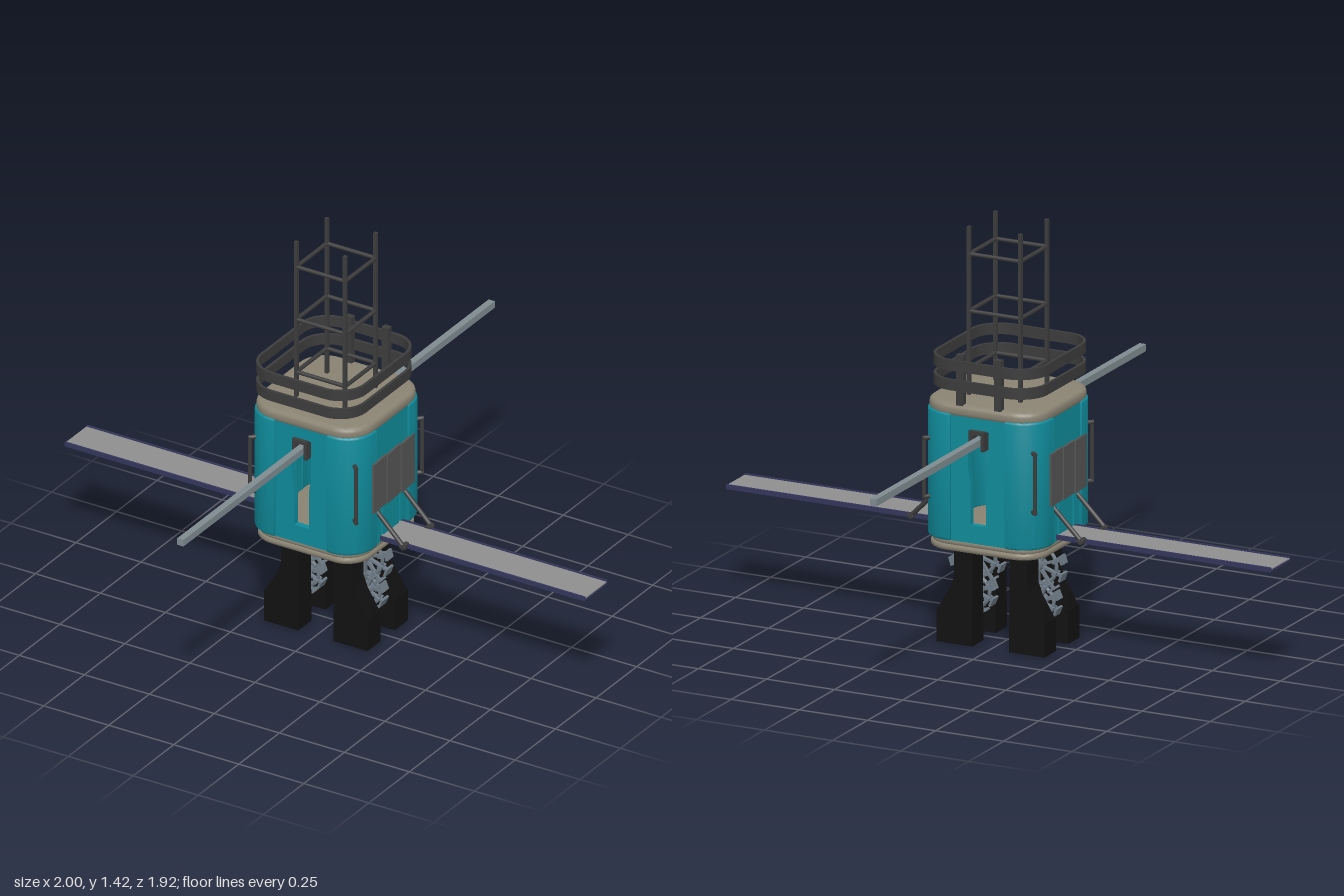
import * as THREE from 'three';
import { toCreasedNormals } from 'three/addons/utils/BufferGeometryUtils.js';

const paint = (color) => new THREE.MeshStandardMaterial({ color });
const TEAL = paint(0x0f8a99), BEIGE = paint(0x8a8373), DARK = paint(0x3c3c3c), BLACK = paint(0x111111);
const STEEL = paint(0x7f8b90), WHEEL = paint(0x6c7984), NAVY = paint(0x34365c), TREAD = paint(0x8e8e8e);
const PANEL = paint(0x555555);

export function createModel() {
  const model = new THREE.Group();

  const add = (name, geometry, material, parent = model) => {
    const mesh = new THREE.Mesh(geometry, material);
    mesh.name = name;
    parent.add(mesh);
    return mesh;
  };
  const box = (name, w, h, d, x, y, z, material, parent) => {
    const mesh = add(name, new THREE.BoxGeometry(w, h, d), material, parent);
    mesh.position.set(x, y, z);
    return mesh;
  };
  const rod = (name, a, b, radius, material, parent, sides = 8) => {
    const from = new THREE.Vector3(...a), dir = new THREE.Vector3(...b).sub(from);
    const mesh = add(name, new THREE.CylinderGeometry(radius, radius, dir.length(), sides), material, parent);
    mesh.position.copy(from).addScaledVector(dir, 0.5);
    mesh.quaternion.setFromUnitVectors(new THREE.Vector3(0, 1, 0), dir.normalize());
    return mesh;
  };
  const group = (name) => {
    const g = new THREE.Group();
    g.name = name;
    model.add(g);
    return g;
  };
  const extrude = (shape, depth, bevel = 0, curveSegments = 8) => toCreasedNormals(
    new THREE.ExtrudeGeometry(shape, {
      depth: depth - 2 * bevel, curveSegments, bevelEnabled: bevel > 0,
      bevelThickness: bevel, bevelSize: bevel, bevelOffset: -bevel, bevelSegments: 3,
    }).translate(0, 0, bevel), 0.6);
  const outline = (hx, hz, r, Type = THREE.Shape) => {
    const s = new Type();
    s.absarc(hx - r, hz - r, r, 0, Math.PI / 2);
    s.absarc(-hx + r, hz - r, r, Math.PI / 2, Math.PI);
    s.absarc(-hx + r, -hz + r, r, Math.PI, Math.PI * 1.5);
    s.absarc(hx - r, -hz + r, r, Math.PI * 1.5, Math.PI * 2);
    s.closePath();
    return s;
  };
  const rect = (x0, x1, y0, y1, Type = THREE.Shape) => new Type([[x0, y0], [x1, y0], [x1, y1], [x0, y1]]
    .map((p) => new THREE.Vector2(...p)));
  // Stands a plan outline upright, from height y
  const raise = (name, shape, y, h, bevel, material, parent) => {
    const mesh = add(name, extrude(shape, h, bevel), material, parent);
    mesh.rotation.x = -Math.PI / 2;
    mesh.position.y = y;
    return mesh;
  };

  // Floor and roof slabs
  raise('floorSlab', outline(0.21, 0.21, 0.09), 0.345, 0.022, 0.008, BEIGE);
  raise('floorRim', outline(0.206, 0.206, 0.09), 0.363, 0.024, 0.008, BEIGE);
  raise('roof', outline(0.216, 0.216, 0.1), 0.806, 0.044, 0.016, BEIGE);

  // Hollow cabin: four rounded corner pillars and four wall plates
  const cabin = group('cabin');
  const pillar = new THREE.Shape();
  pillar.moveTo(0.22, 0.1);
  pillar.lineTo(0.22, 0.12);
  pillar.absarc(0.12, 0.12, 0.1, 0, Math.PI / 2);
  pillar.lineTo(0.1, 0.22);
  pillar.lineTo(0.1, 0.19);
  pillar.lineTo(0.12, 0.19);
  pillar.absarc(0.12, 0.12, 0.07, Math.PI / 2, 0, true);
  pillar.lineTo(0.19, 0.1);
  pillar.closePath();
  for (let i = 0; i < 4; i++) {
    raise('cornerPillar', pillar, 0.382, 0.436, 0.008, TEAL, cabin).rotation.z = i * Math.PI / 2;

    const wall = rect(-0.108, 0.108, 0.383, 0.815);
    if (i % 2 === 0) {
      // Tall slot, wide above and narrow below
      wall.holes.push(new THREE.Path([[-0.028, 0.445], [0.028, 0.445], [0.028, 0.58], [0.037, 0.64],
        [0.037, 0.77], [-0.037, 0.77], [-0.037, 0.64], [-0.028, 0.58]].map((p) => new THREE.Vector2(...p))));
    } else {
      for (const z of [-0.098, -0.054, 0.054, 0.098])
        wall.holes.push(rect(z - 0.005, z + 0.005, 0.395, 0.55, THREE.Path));
    }
    const holder = new THREE.Group();
    holder.name = 'wall';
    holder.rotation.y = i * Math.PI / 2;
    cabin.add(holder);
    add('wallPlate', extrude(wall, 0.022), TEAL, holder).position.z = 0.19;

    if (i % 2 === 0) {
      // Long boom and its bracket
      box('boom', 0.024, 0.024, 0.77, 0, 0.733, 0.575, STEEL, holder);
      for (const s of [-1, 1]) box('boomCheek', 0.012, 0.06, 0.04, s * 0.022, 0.735, 0.207, DARK, holder);
      box('boomLintel', 0.056, 0.012, 0.04, 0, 0.766, 0.207, DARK, holder);
    } else {
      // Three overlapping shutter strips
      for (const z of [-1, 0, 1])
        box('shutter', 0.088, 0.18, 0.008, z * 0.0865, 0.61, 0.221, PANEL, holder).rotation.y = 0.06;

      // Ramp with raised kerbs and its struts
      box('rampUnderside', 0.14, 0.008, 0.8, 0, 0.394, 0.6, NAVY, holder);
      box('rampTread', 0.128, 0.004, 0.8, 0, 0.4, 0.6, TREAD, holder);
      for (const s of [-1, 1]) {
        box('rampKerb', 0.006, 0.016, 0.8, s * 0.067, 0.398, 0.6, NAVY, holder);
        rod('rampStrut', [s * 0.085, 0.505, 0.21], [s * 0.085, 0.405, 0.31], 0.008, DARK, holder);
        rod('strutPin', [s * 0.092, 0.402, 0.312], [s * 0.062, 0.402, 0.312], 0.01, DARK, holder);
        rod('strutFoot', [s * 0.085, 0.402, 0.3], [s * 0.085, 0.402, 0.322], 0.008, DARK, holder);
      }
    }

    // Grab handle on the corner
    const handle = new THREE.Group();
    handle.name = 'grabHandle';
    handle.rotation.y = Math.PI / 4 + i * Math.PI / 2;
    cabin.add(handle);
    rod('grip', [0, 0.51, 0.288], [0, 0.72, 0.288], 0.007, DARK, handle);
    for (const y of [0.515, 0.715]) rod('gripMount', [0, y, 0.262], [0, y, 0.292], 0.008, DARK, handle);
  }

  // Roof railing and the two posts carrying it at the back
  const railing = group('railing');
  for (const y of [0.895, 0.962]) {
    const band = outline(0.203, 0.225, 0.1);
    band.holes.push(outline(0.193, 0.215, 0.09, THREE.Path));
    raise('railBand', band, y, 0.037, 0, DARK, railing).position.z = 0.013;
  }
  for (const s of [-1, 1]) box('railPost', 0.026, 0.175, 0.022, s * 0.07, 0.932, -0.199, DARK, railing);

  // Open lattice mast
  const mast = group('mast');
  const m = 0.094;
  for (const sx of [-1, 1]) for (const sz of [-1, 1])
    box('mastPost', 0.012, 0.575, 0.012, sx * m, 1.1365, sz * m, DARK, mast);
  for (const y of [0.94, 1.135, 1.33]) for (const s of [-1, 1]) {
    rod('mastRung', [-m, y, s * m], [m, y, s * m], 0.007, DARK, mast);
    rod('mastRung', [s * m, y, -m], [s * m, y, m], 0.007, DARK, mast);
  }

  // Legs flaring outward into heavy feet
  const legShape = new THREE.Shape([[0.068, 0], [0.198, 0], [0.198, 0.11], [0.15, 0.19], [0.135, 0.23],
    [0.135, 0.35], [0.068, 0.35]].map((p) => new THREE.Vector2(...p)));
  const legGeometry = extrude(legShape, 0.076);
  for (const turn of [0, Math.PI]) for (const z of [0.046, -0.122]) {
    const leg = add('leg', legGeometry, BLACK);
    leg.rotation.y = turn;
    leg.position.z = turn ? -z : z;
    const shoe = box('foot', 0.131, 0.115, 0.082, turn ? -0.133 : 0.133, 0.0575, 0, BLACK);
    shoe.position.z = (turn ? -1 : 1) * (z + 0.038);
  }

  // Paddle wheels between the legs, a large one over a small one
  const paddleWheel = (x, y, radius, count) => {
    const wheel = group('paddleWheel');
    wheel.position.set(x, y, 0);
    add('wheelRing', new THREE.TorusGeometry(radius * 0.68, 0.007, 6, 24), WHEEL, wheel);
    add('wheelHub', new THREE.CylinderGeometry(0.02, 0.02, 0.05, 12).rotateX(Math.PI / 2), WHEEL, wheel);
    for (let i = 0; i < count; i++) {
      const arm = new THREE.Group();
      arm.name = 'wheelArm';
      arm.rotation.z = (i + 0.5) / count * Math.PI * 2;
      wheel.add(arm);
      box('spoke', radius, 0.008, 0.014, radius / 2, 0, 0, WHEEL, arm);
      box('paddle', 0.008, 0.03, 0.04, radius - 0.004, 0, 0, WHEEL, arm);
      box('rimBlock', 0.016, 0.014, 0.032, radius * 0.68, 0, 0, WHEEL, arm);
    }
  };
  for (const s of [-1, 1]) {
    paddleWheel(s * 0.112, 0.272, 0.098, 10);
    paddleWheel(s * 0.118, 0.15, 0.074, 8);
  }

  return model;
}
